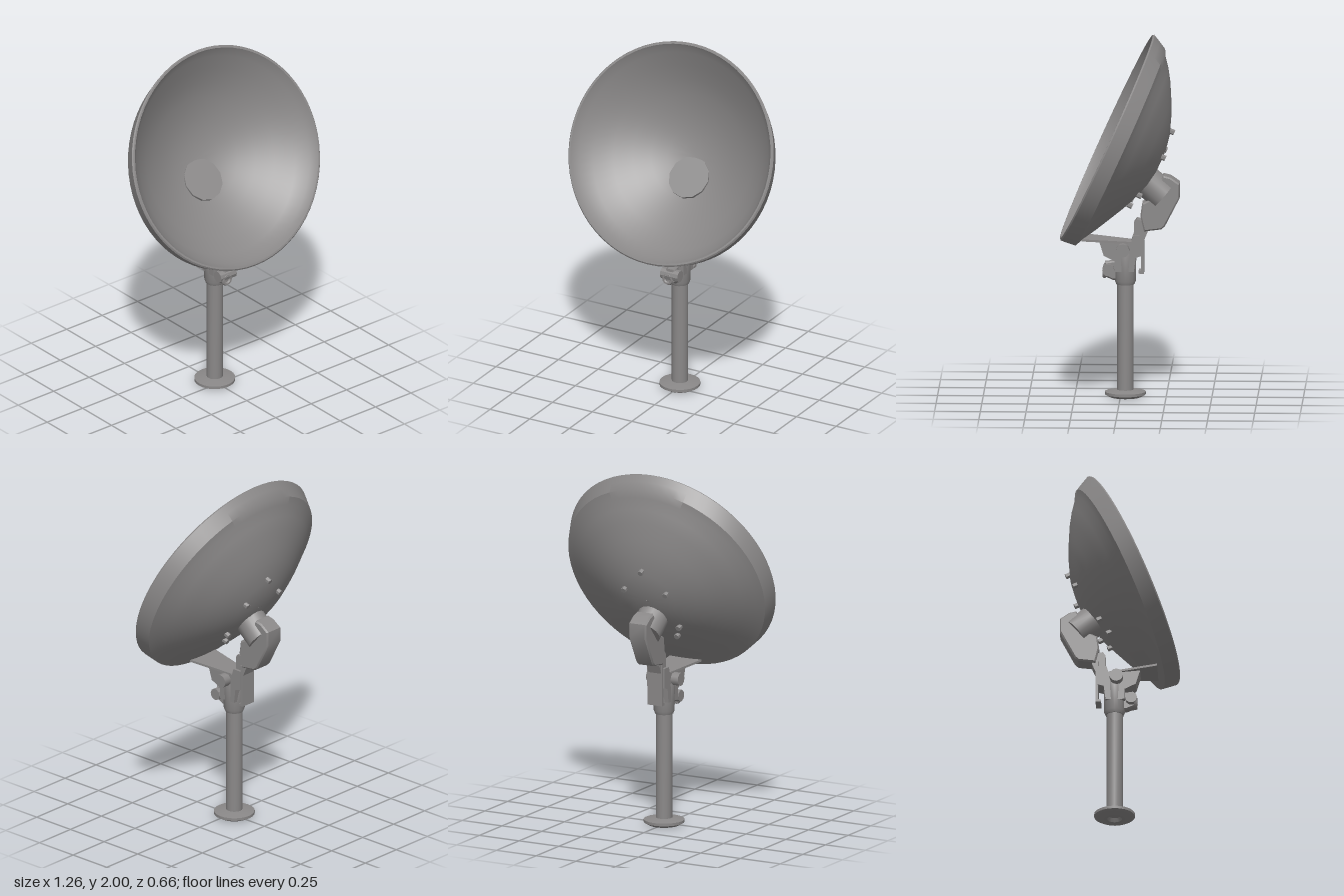
import * as THREE from 'three';
import { toCreasedNormals } from 'three/addons/utils/BufferGeometryUtils.js';

export function createModel() {
  const model = new THREE.Group();
  model.name = 'satelliteDish';
  const grey = new THREE.MeshStandardMaterial({ color: 0x8a8888 });
  grey.name = 'metalGrey';

  const add = (name, geometry, parent = model) => {
    const mesh = new THREE.Mesh(toCreasedNormals(geometry, 0.6), grey);
    mesh.name = name;
    parent.add(mesh);
    return mesh;
  };
  const lathe = (points, segments = 48) =>
    new THREE.LatheGeometry(points.map(([r, y]) => new THREE.Vector2(r, y)), segments);
  // Side outline given as [z, y], extruded across x and centred on it
  const sideProfile = (points, width, bevel = 0) => {
    const shape = new THREE.Shape(points.map(([z, y]) => new THREE.Vector2(-z, y)));
    const depth = width - 2 * bevel;
    const geometry = new THREE.ExtrudeGeometry(shape, {
      depth, bevelEnabled: bevel > 0, bevelSize: bevel, bevelOffset: -bevel,
      bevelThickness: bevel, bevelSegments: 1,
    });
    return geometry.translate(0, 0, -depth / 2).rotateY(Math.PI / 2);
  };
  const crossPin = (radius, length, y, z, sides = 12) =>
    new THREE.CylinderGeometry(radius, radius, length, sides).rotateZ(Math.PI / 2).translate(0, y, z);

  // Pole and foot
  const axisZ = -0.027;
  add('baseFlange', lathe([
    [0, 0.02], [0.03, 0.02], [0.04, 0], [0.085, 0], [0.112, 0.015], [0.112, 0.03], [0.05, 0.04], [0, 0.04],
  ], 24)).position.z = axisZ;
  add('pole', new THREE.CylinderGeometry(0.045, 0.045, 0.61, 16).translate(0, 0.335, axisZ));

  // Swivel head on the pole
  add('headSleeve', lathe([
    [0, 0.625], [0.05, 0.625], [0.058, 0.645], [0.06, 0.8], [0.045, 0.86], [0, 0.86],
  ], 16)).position.z = axisZ;
  add('headYoke', sideProfile([
    [0.115, 0.87], [0.09, 0.79], [0.03, 0.76], [0.03, 0.7], [-0.075, 0.7],
    [-0.085, 0.78], [-0.12, 0.79], [-0.12, 0.9], [-0.07, 0.9], [-0.06, 0.865],
  ], 0.11));
  add('tiltPin', crossPin(0.037, 0.2, 0.825, -0.015));
  add('clampLug', sideProfile([[0.085, 0.75], [0.085, 0.67], [0.04, 0.65], [0, 0.65], [0, 0.76]], 0.05, 0.008));
  add('clampBolt', crossPin(0.033, 0.11, 0.71, 0.065, 10));
  add('clampNut', new THREE.TorusGeometry(0.026, 0.01, 6, 12).translate(-0.01, 0.69, 0.088));
  add('rearPlate', sideProfile([
    [-0.115, 0.93], [-0.13, 0.93], [-0.13, 0.69], [-0.1, 0.69], [-0.1, 0.702], [-0.115, 0.705],
  ], 0.09));
  add('neck', sideProfile([
    [-0.075, 0.97], [-0.09, 0.99], [-0.13, 0.98], [-0.15, 0.92], [-0.12, 0.85], [-0.075, 0.85],
  ], 0.08));

  // Flared plate rising from the head to the dish's lower edge
  const plateShape = new THREE.Shape([
    [-0.1, -0.21], [0.1, -0.21], [0.05, 0.07], [-0.05, 0.07],
  ].map(([x, y]) => new THREE.Vector2(x, y)));
  const plate = new THREE.ExtrudeGeometry(plateShape, { depth: 0.012, bevelEnabled: false });
  add('supportPlate', plate.rotateX(-Math.PI / 2 - 0.08).translate(0, 0.86, 0));

  // Cranked arm
  add('supportArm', sideProfile([
    [-0.235, 1.235], [-0.275, 1.225], [-0.325, 1.19], [-0.325, 1.11], [-0.245, 0.955], [-0.225, 0.937],
    [-0.13, 0.925], [-0.11, 1.01], [-0.12, 1.08], [-0.16, 1.1],
  ], 0.11, 0.008));

  // Hub through the bowl, running along its own tilted axis
  const hub = new THREE.Group();
  hub.name = 'hub';
  hub.position.set(0, 1.22, -0.125);
  hub.rotation.x = Math.atan2(0.76, 0.65);
  model.add(hub);
  add('hubDisc', new THREE.CylinderGeometry(0.12, 0.12, 0.02, 12).translate(0, -0.01, 0), hub);
  add('hubTube', new THREE.CylinderGeometry(0.087, 0.087, 0.13, 16).translate(0, -0.085, 0.005), hub);

  // Tilted bowl: local +y faces out of the dish, local +z points down it
  const dish = new THREE.Group();
  dish.name = 'dish';
  dish.position.set(0, 1.44, 0.075);
  dish.rotation.x = Math.acos(0.415);
  dish.scale.z = 0.98;
  model.add(dish);
  const back = [
    [0, -0.325], [0.08, -0.322], [0.16, -0.308], [0.28, -0.265], [0.34, -0.236],
    [0.43, -0.19], [0.5, -0.15], [0.56, -0.11],
  ];
  const band = [[0.603, -0.09], [0.618, -0.045], [0.63, -0.006], [0.624, 0.002], [0.614, 0.002]];
  const inner = [
    [0.606, -0.01], [0.58, -0.04], [0.52, -0.095], [0.43, -0.158], [0.34, -0.21],
    [0.25, -0.254], [0.16, -0.286], [0.08, -0.302], [0, -0.305],
  ];
  const bowl = lathe([...back, ...band, ...inner], 64);
  // The rear edge of the rim band sits slightly lower than the front edge
  const position = bowl.attributes.position;
  for (let i = 0; i < position.count; i++) {
    const sag = 0.02 * Math.max(0, 1 - Math.abs(position.getY(i) + 0.09) / 0.09);
    position.setZ(i, position.getZ(i) + sag);
  }
  add('bowl', bowl, dish);

  // Bolts on the back of the bowl, as [x, distance up the dish, depth]
  const bolts = [[0, 0.18, 0.311], [0.13, 0.05, 0.321], [0.14, -0.2, 0.29], [0.1, -0.28, 0.268]];
  for (const [x, up, depth] of bolts) {
    for (const side of x ? [1, -1] : [1]) {
      const bolt = add('mountBolt', new THREE.CylinderGeometry(0.016, 0.016, 0.028, 6), dish);
      bolt.position.set(side * x, -depth, -up);
    }
  }
  return model;
}
